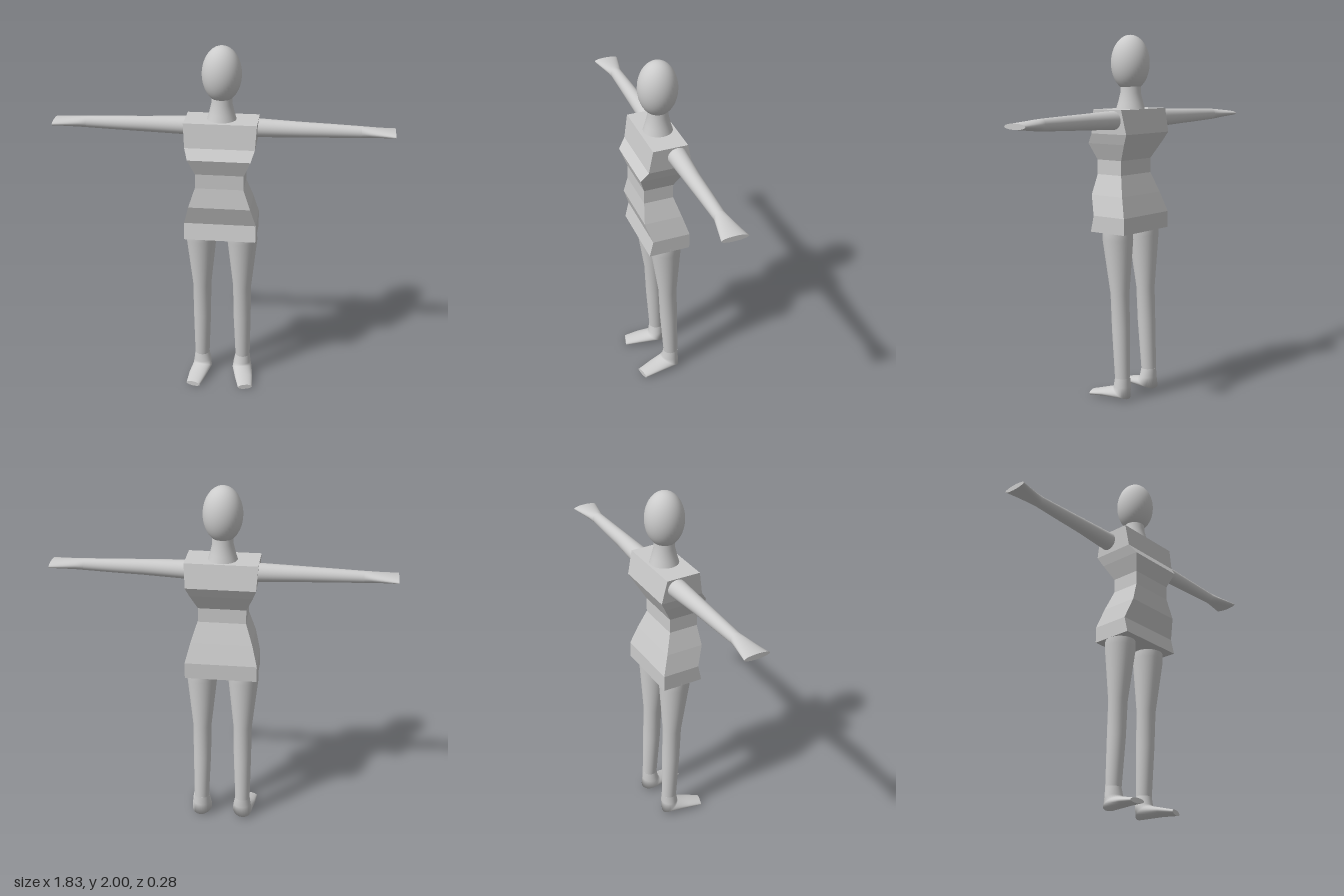
import * as THREE from 'three';

const mat = new THREE.MeshStandardMaterial({ color: 0xcccccc });
const flatMat = new THREE.MeshStandardMaterial({ color: 0xcccccc, flatShading: true });

// Skin rings { c: centre, u, v: half axes } with u x v along the travel; side -1 mirrors in x.
function loft(rings, { side = 1, sides = 32, start = 0, scale = 1 } = {}) {
  const pos = [], idx = [];
  const addRing = ({ c, u, v }) => {
    for (let j = 0; j < sides; j++) {
      const a = start + (side * j * Math.PI * 2) / sides;
      const p = c.map((k, i) => k + scale * (u[i] * Math.cos(a) + v[i] * Math.sin(a)));
      pos.push(p[0] * side, p[1], p[2]);
    }
  };
  rings.forEach(addRing);
  for (let i = 0; i < rings.length - 1; i++) {
    for (let j = 0; j < sides; j++) {
      const a = i * sides + j, b = i * sides + ((j + 1) % sides);
      idx.push(a, b, b + sides, a, b + sides, a + sides);
    }
  }
  // End caps with their own vertices keep the rims sharp
  [rings[0], rings[rings.length - 1]].forEach((ring, end) => {
    const base = pos.length / 3;
    addRing(ring);
    for (let j = 1; j < sides - 1; j++) {
      idx.push(base, base + (end ? j : j + 1), base + (end ? j + 1 : j));
    }
  });
  const g = new THREE.BufferGeometry();
  g.setAttribute('position', new THREE.Float32BufferAttribute(pos, 3));
  g.setIndex(idx);
  g.computeVertexNormals();
  return g;
}

// Horizontal ring
const level = (x, y, z, rx, rz = rx) => ({ c: [x, y, z], u: [rx, 0, 0], v: [0, 0, rz] });
// Upright ring across an arm
const upright = (x, y, z, ry, rz) => ({ c: [x, y, z], u: [0, ry, 0], v: [0, 0, rz] });

export function createModel() {
  const model = new THREE.Group();
  const add = (name, geometry, material = mat) => {
    const mesh = new THREE.Mesh(geometry, material);
    mesh.name = name;
    model.add(mesh);
    return mesh;
  };

  // Head
  const head = add('head', new THREE.SphereGeometry(1, 40, 28));
  head.scale.set(0.105, 0.15, 0.105);
  head.position.set(0, 1.85, -0.018);

  // Neck, flaring into the shoulders
  const neck = add('neck', new THREE.LatheGeometry([
    [0.08, 1.6], [0.068, 1.64], [0.056, 1.69], [0.055, 1.74],
  ].map(([r, y]) => new THREE.Vector2(r, y)), 32));
  neck.position.z = -0.02;

  // Torso: rectangular sections as [y, half width, front z, back z]
  const sections = [
    [1.605, 0.195, 0.08, -0.11], [1.475, 0.187, 0.1, -0.138], [1.42, 0.168, 0.138, -0.108],
    [1.33, 0.13, 0.106, -0.058], [1.25, 0.13, 0.106, -0.058], [1.14, 0.168, 0.117, -0.095],
    [1.03, 0.197, 0.08, -0.13], [0.94, 0.197, 0.1, -0.13],
  ].map(([y, w, f, b]) => level(0, y, (f + b) / 2, w, (f - b) / 2));
  add('torso', loft(sections, { sides: 4, start: Math.PI / 4, scale: Math.SQRT2 }).toNonIndexed(), flatMat);

  for (const side of [1, -1]) {
    const label = side > 0 ? 'left' : 'right';

    // Arm, ending in a flat paddle hand
    add(label + 'Arm', loft([
      upright(0.17, 1.55, -0.053, 0.051, 0.053), upright(0.42, 1.55, -0.048, 0.042, 0.04),
      upright(0.58, 1.55, -0.048, 0.037, 0.036), upright(0.74, 1.55, -0.047, 0.031, 0.032),
    ], { side }));
    add(label + 'Hand', loft([
      upright(0.74, 1.55, -0.047, 0.031, 0.032), upright(0.78, 1.55, -0.046, 0.028, 0.04),
      upright(0.917, 1.55, -0.045, 0.015, 0.07),
    ], { side }));

    // Leg
    add(label + 'Leg', loft([
      level(0.115, 0.96, -0.022, 0.082), level(0.115, 0.9, -0.023, 0.084),
      level(0.115, 0.6, -0.037, 0.052), level(0.116, 0.4, -0.045, 0.05),
      level(0.12, 0.12, -0.059, 0.042),
    ], { side }));

    // Foot: ankle, slanted heel ring, then a flat toe turned outwards
    add(label + 'Foot', loft([
      level(0.12, 0.13, -0.059, 0.042), level(0.118, 0.08, -0.056, 0.05, 0.047),
      { c: [0.118, 0.042, -0.052], u: [0.056, 0, -0.01], v: [0, 0.028, 0.05] },
      { c: [0.137, 0.032, 0.05], u: [0.05, 0, -0.012], v: [0, 0.021, 0.008] },
      { c: [0.152, 0.018, 0.132], u: [0.04, 0, -0.01], v: [0, 0.014, 0] },
    ], { side }));
  }
  return model;
}
